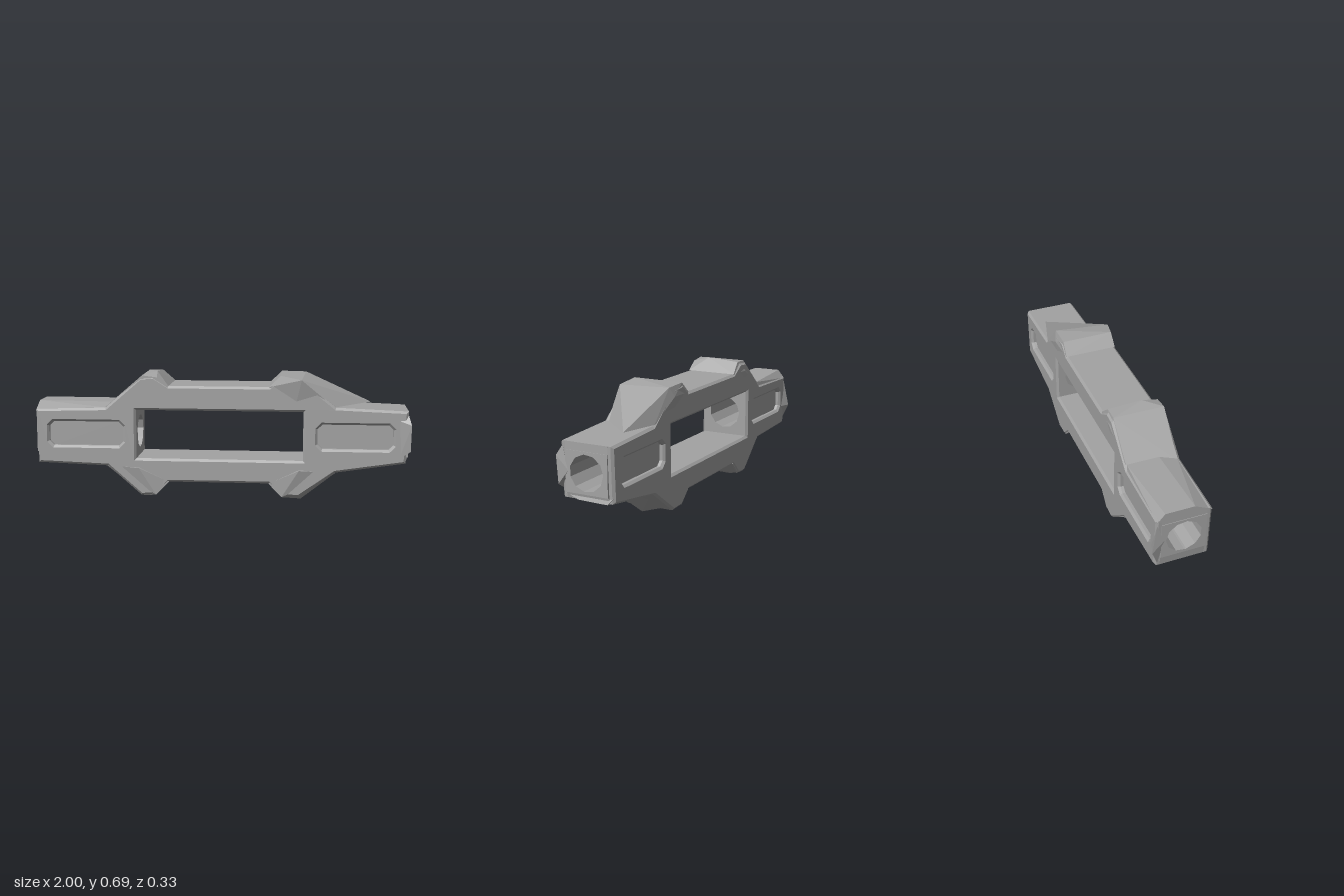
import * as THREE from 'three';
import { ConvexGeometry } from 'three/addons/geometries/ConvexGeometry.js';

export function createModel() {
  const model = new THREE.Group();
  const metal = new THREE.MeshStandardMaterial({ color: 0xa3a3a3 });
  metal.name = 'grey metal';

  const add = (name, geometry) => {
    const mesh = new THREE.Mesh(geometry, metal);
    mesh.name = name;
    model.add(mesh);
    return mesh;
  };
  const points = (list) => list.map(([x, y]) => new THREE.Vector2(x, y));
  const rect = (x0, y0, x1, y1, c = 0) => points(c
    ? [[x0 + c, y0], [x1 - c, y0], [x1, y0 + c], [x1, y1 - c], [x1 - c, y1], [x0 + c, y1], [x0, y1 - c], [x0, y0 + c]]
    : [[x0, y0], [x1, y0], [x1, y1], [x0, y1]]);
  const hull = (name, list) => add(name, new ConvexGeometry(list.map((p) => new THREE.Vector3(...p))));

  // Upper and lower silhouettes, both running from -x to +x
  const upper = [[-0.985, 0.49], [-0.61, 0.5], [-0.42, 0.665], [-0.35, 0.67], [-0.27, 0.62],
    [0.26, 0.62], [0.32, 0.67], [0.43, 0.66], [0.61, 0.515], [0.985, 0.5]];
  const lower = [[-0.975, 0.2], [-0.6, 0.187], [-0.42, 0.03], [-0.34, 0.035], [-0.27, 0.105],
    [0.26, 0.105], [0.33, 0.04], [0.42, 0.035], [0.61, 0.17], [0.975, 0.225]];

  // Core rails above and below the window
  const rails = [
    ['upperRail', [...upper, [0.985, 0.45], [0.44, 0.45], [0.44, 0.49], [-0.445, 0.49], [-0.445, 0.45], [-0.985, 0.45]]],
    ['lowerRail', [...lower, [0.985, 0.27], [0.44, 0.27], [0.44, 0.23], [-0.445, 0.23], [-0.445, 0.27], [-0.985, 0.27]]],
  ];
  for (const [name, outline] of rails) {
    const g = new THREE.ExtrudeGeometry(new THREE.Shape(points(outline)), { depth: 0.23, bevelEnabled: false });
    add(name, g.translate(0, 0, -0.115));
  }

  // Bevelled faces with the window and the two arm pockets
  const face = new THREE.Shape(points([...upper, ...lower.slice().reverse()]));
  face.holes.push(
    new THREE.Path(rect(-0.445, 0.23, 0.44, 0.49)),
    new THREE.Path(rect(-0.915, 0.295, -0.515, 0.425, 0.025)),
    new THREE.Path(rect(0.515, 0.295, 0.91, 0.425, 0.025)),
  );
  for (const [name, z] of [['frontFace', 0.1], ['backFace', -0.143]]) {
    const g = new THREE.ExtrudeGeometry(face, {
      depth: 0.019, bevelThickness: 0.012, bevelSize: 0.012, bevelOffset: -0.012, bevelSegments: 1,
    });
    add(name, g.translate(0, 0, z + 0.012));
  }

  // Bored blocks inside each arm
  const bore = [];
  for (let i = 0; i < 11; i++) {
    const a = (i / 11) * Math.PI * 2;
    bore.push(new THREE.Vector2(Math.cos(a) * 0.092, 0.358 + Math.sin(a) * 0.09));
  }
  const section = new THREE.Shape(rect(-0.115, 0.255, 0.115, 0.46));
  section.holes.push(new THREE.Path(bore));
  for (const [name, x, length] of [['leftBore', 0.44, 0.548], ['rightBore', -0.988, 0.543]]) {
    const g = new THREE.ExtrudeGeometry(section, { depth: length, bevelEnabled: false });
    add(name, g.rotateY(Math.PI / 2).translate(x, 0, 0));
  }

  // Faceted humps at the four corners of the window
  hull('upperLeftHump', [
    [0.26, 0.62, 0.14], [0.26, 0.62, -0.14], [0.32, 0.68, 0.14], [0.32, 0.678, -0.135],
    [0.43, 0.66, 0.163], [0.45, 0.675, -0.135], [0.42, 0.625, -0.15], [0.6, 0.515, 0.125],
    [0.8, 0.52, -0.085], [0.6, 0.52, -0.138], [0.4, 0.53, 0.14], [0.4, 0.53, -0.138]]);
  hull('lowerLeftHump', [
    [0.26, 0.105, 0.14], [0.26, 0.105, -0.138], [0.33, 0.035, 0.146], [0.33, 0.04, -0.136],
    [0.43, 0.005, 0.04], [0.42, 0.06, -0.14], [0.42, 0.18, 0.158], [0.61, 0.165, 0.12],
    [0.61, 0.2, -0.135], [0.4, 0.2, -0.138]]);
  hull('upperRightHump', [
    [-0.27, 0.62, 0.14], [-0.27, 0.62, -0.138], [-0.33, 0.665, 0.14], [-0.335, 0.678, -0.13],
    [-0.34, 0.69, 0.05], [-0.41, 0.675, 0.14], [-0.41, 0.677, -0.13], [-0.4, 0.62, -0.146],
    [-0.62, 0.495, 0.125], [-0.59, 0.52, -0.135], [-0.4, 0.52, 0.14], [-0.4, 0.52, -0.138]]);
  hull('lowerRightHump', [
    [-0.27, 0.105, 0.14], [-0.27, 0.105, -0.138], [-0.34, 0.035, 0.145], [-0.34, 0.04, -0.136],
    [-0.42, 0.002, -0.05], [-0.41, 0.02, 0.1], [-0.43, 0.06, -0.14], [-0.43, 0.18, 0.157],
    [-0.61, 0.19, 0.13], [-0.61, 0.19, -0.135], [-0.4, 0.2, -0.138]]);

  // Uneven caps along the arms
  hull('rightArmTop', [
    [-0.985, 0.48, 0.14], [-0.985, 0.525, 0.05], [-0.985, 0.525, -0.1], [-0.985, 0.48, -0.138],
    [-0.6, 0.5, 0.13], [-0.59, 0.52, 0.04], [-0.59, 0.52, -0.13], [-0.6, 0.48, -0.138]]);
  hull('leftArmBottom', [
    [0.985, 0.225, 0.05], [0.985, 0.222, -0.11], [0.975, 0.25, 0.13], [0.975, 0.25, -0.135],
    [0.6, 0.165, 0.11], [0.6, 0.19, -0.13], [0.6, 0.24, 0.14], [0.6, 0.24, -0.138]]);

  // Chipped corners at the arm ends
  hull('rightEndChip', [
    [-1, 0.31, -0.165], [-0.985, 0.46, -0.138], [-0.98, 0.22, -0.13], [-0.93, 0.31, -0.14],
    [-0.988, 0.36, -0.1]]);
  hull('leftEndChip', [
    [1, 0.43, 0.158], [0.998, 0.29, 0.15], [0.94, 0.45, 0.143], [0.94, 0.25, 0.14],
    [0.985, 0.48, 0.13], [0.988, 0.36, 0.1]]);

  return model;
}
